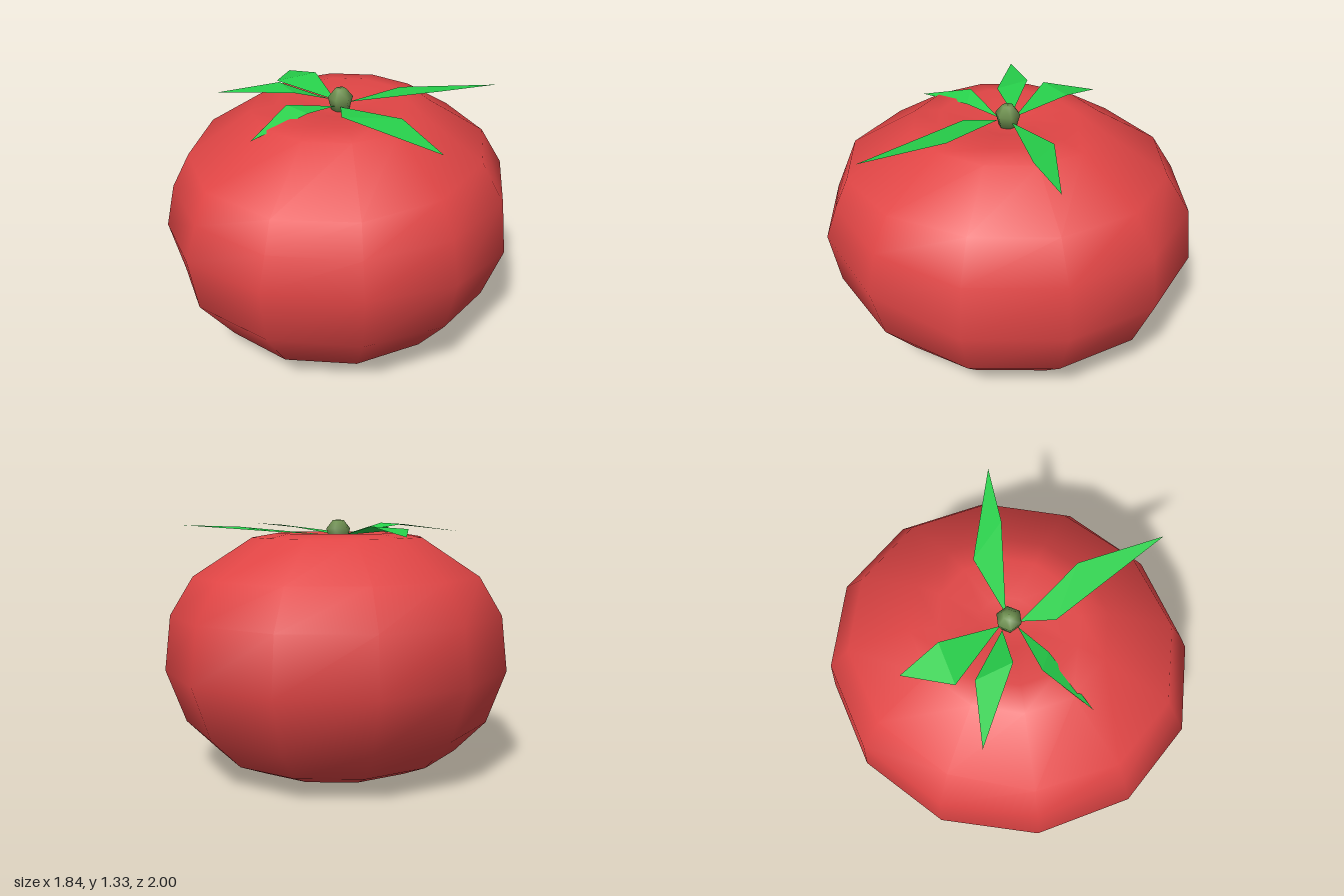
import * as THREE from 'three';

// Cross-sections [radius, height] of the fruit, bottom to top: back/sides and front.
const SIDE = [[0.54, 0.03], [0.71, 0.1], [0.89, 0.27], [1, 0.55], [0.965, 0.84], [0.835, 1.04], [0.5, 1.24], [0.36, 1.262], [0.15, 1.235]];
const FRONT = [[0.55, 0.03], [0.76, 0.14], [0.96, 0.41], [1, 0.7], [0.93, 0.86], [0.865, 1.01], [0.5, 1.24], [0.36, 1.262], [0.15, 1.235]];
const SEGMENTS = 12;
const WIDTH = 0.92;

// Leaves: base, first side corner, tip, second side corner (x, y, z).
const LEAVES = [
  [[0.03, 1.25, -0.03], [0.23, 1.27, -0.29], [0.72, 1.305, -0.42], [0.47, 1.295, -0.24]],
  [[0.02, 1.25, 0.05], [0.09, 1.265, 0.21], [0.7, 1.305, 0.54], [0.4, 1.3, 0.2]],
  [[-0.01, 1.25, 0.05], [-0.08, 1.27, 0.24], [-0.25, 1.215, 0.54], [-0.19, 1.305, 0.25]],
  [[-0.06, 1.26, -0.01], [-0.36, 1.31, -0.02], [-0.64, 1.27, 0.14], [-0.21, 1.315, 0.11]],
  [[-0.04, 1.25, -0.03], [-0.25, 1.3, -0.26], [-0.46, 1.25, -0.37], [-0.41, 1.285, -0.1]],
];

function buildGeometry(points, index) {
  const geometry = new THREE.BufferGeometry();
  geometry.setAttribute('position', new THREE.Float32BufferAttribute(points.flat(), 3));
  geometry.setIndex(index);
  geometry.computeVertexNormals();
  return geometry;
}

// Rings blend from the side section to the front section around the fruit.
function fruitGeometry() {
  const points = [], index = [];
  const rings = SIDE.length;
  for (let r = 0; r < rings; r++) {
    for (let s = 0; s < SEGMENTS; s++) {
      const angle = (s / SEGMENTS) * Math.PI * 2;
      const blend = Math.max(0, Math.cos(angle));
      const radius = THREE.MathUtils.lerp(SIDE[r][0], FRONT[r][0], blend);
      const height = THREE.MathUtils.lerp(SIDE[r][1], FRONT[r][1], blend);
      points.push([Math.sin(angle) * radius * WIDTH, height, Math.cos(angle) * radius]);
    }
  }
  const bottom = points.push([0, 0, 0]) - 1;
  const top = points.push([0, 1.21, 0]) - 1;
  for (let s = 0; s < SEGMENTS; s++) {
    const next = (s + 1) % SEGMENTS;
    for (let r = 0; r < rings - 1; r++) {
      const a = r * SEGMENTS + s, b = r * SEGMENTS + next;
      const c = a + SEGMENTS, d = b + SEGMENTS;
      index.push(a, b, d, a, d, c);
    }
    const last = (rings - 1) * SEGMENTS;
    index.push(bottom, next, s, top, last + s, last + next);
  }
  return buildGeometry(points, index);
}

export function createModel() {
  const model = new THREE.Group();
  model.name = 'tomato';
  const add = (name, geometry, material, parent = model) => {
    const mesh = new THREE.Mesh(geometry, material);
    mesh.name = name;
    parent.add(mesh);
    return mesh;
  };

  // Plump body with a shallow dimple on top
  add('fruit', fruitGeometry(), new THREE.MeshStandardMaterial({ color: 0xe04545 }));

  // Five thin pointed leaves around the stem
  const leafMaterial = new THREE.MeshStandardMaterial({ color: 0x27d14b, side: THREE.DoubleSide, flatShading: true });
  const leaves = new THREE.Group();
  leaves.name = 'leaves';
  model.add(leaves);
  LEAVES.forEach((corners, i) => {
    add(`leaf${i + 1}`, buildGeometry(corners, [0, 1, 3, 1, 2, 3]), leafMaterial, leaves);
  });

  // Stubby six-sided stem
  const stemProfile = [[0, 1.2], [0.045, 1.21], [0.066, 1.285], [0.03, 1.33], [0, 1.332]];
  const stem = new THREE.LatheGeometry(stemProfile.map(([x, y]) => new THREE.Vector2(x, y)), 6);
  add('stem', stem, new THREE.MeshStandardMaterial({ color: 0x6f9150 }));

  return model;
}
